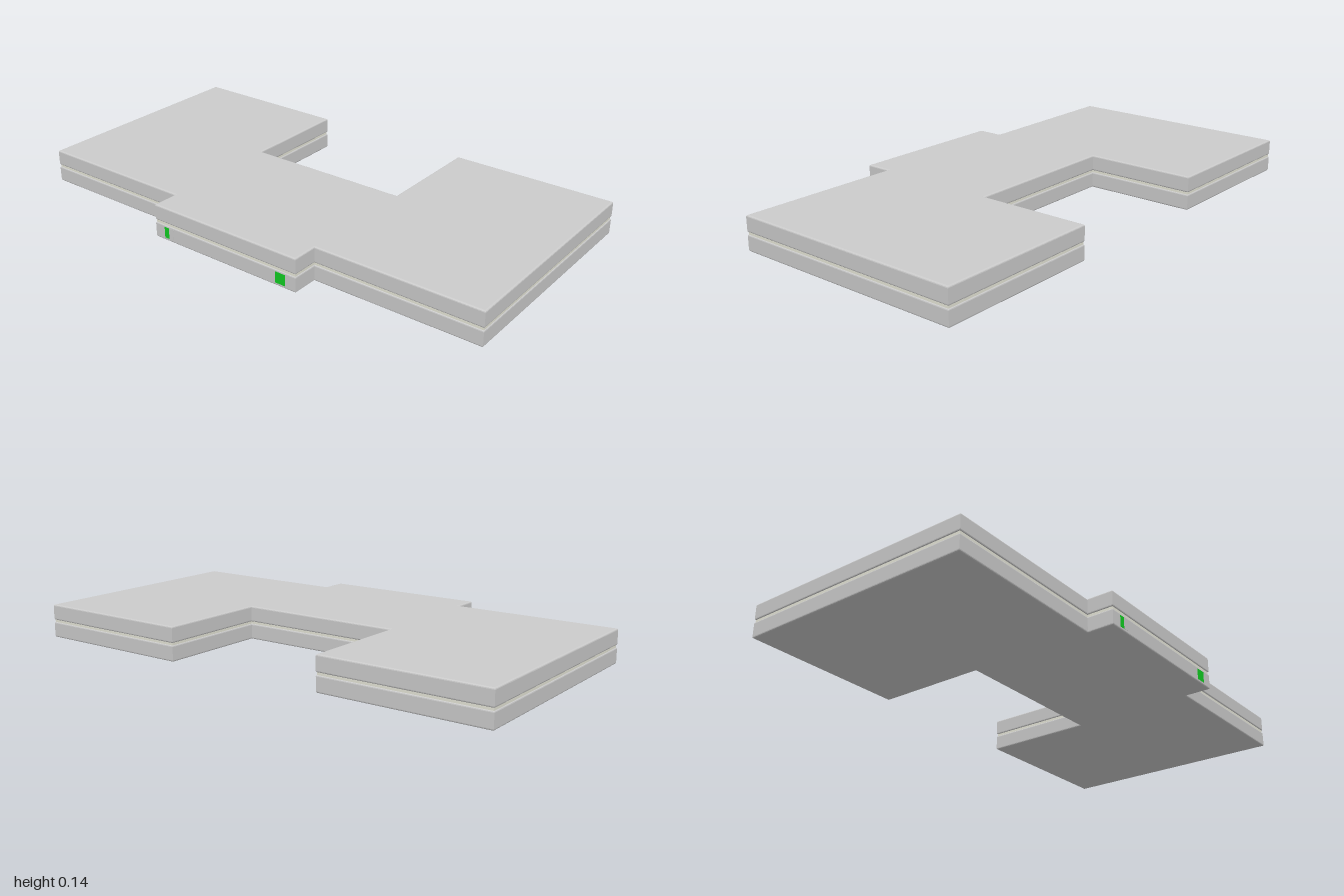
import * as THREE from 'three';

const HEIGHT = 0.135, SEAM = 0.008, BEVEL = 0.006;
const FRONT = 0.53;

// Half of the plan outline as [x, z]; the other half is mirrored.
const HALF = [[0.333, FRONT], [0.333, 0.425], [1, 0.425], [1, -0.53], [0.333, -0.53], [0.333, -0.08]];

function outline() {
  const left = HALF.map(([x, z]) => [-x, z]).reverse();
  return new THREE.Shape([...HALF, ...left].map(([x, z]) => new THREE.Vector2(x, -z)));
}

// Slab following the outline, with softened top and bottom edges.
function slab(name, y, height, material, inset = 0) {
  const bevel = inset ? 0 : BEVEL;
  const geometry = new THREE.ExtrudeGeometry(outline(), {
    depth: height - 2 * bevel,
    bevelEnabled: true,
    bevelThickness: bevel,
    bevelSize: BEVEL,
    bevelOffset: -BEVEL - inset,
    bevelSegments: 3,
  });
  geometry.rotateX(-Math.PI / 2);
  const mesh = new THREE.Mesh(geometry, material);
  mesh.name = name;
  mesh.position.y = y + bevel;
  return mesh;
}

export function createModel() {
  const group = new THREE.Group();
  group.name = 'steppedPlatform';
  const grey = new THREE.MeshStandardMaterial({ color: 0xcccccc });
  const pale = new THREE.MeshStandardMaterial({ color: 0xe6e6d8 });
  const green = new THREE.MeshStandardMaterial({ color: 0x11cc22 });

  // Two stacked slabs with a pale seam between them
  const h = (HEIGHT - SEAM) / 2;
  group.add(slab('lowerSlab', 0, h, grey));
  group.add(slab('upperSlab', h + SEAM, h, grey));
  group.add(slab('seamStrip', h - 0.001, SEAM + 0.002, pale, 0.003));

  // Square indicators on the front tab; the right one is half lit
  const indicator = (name, x, width, material) => {
    const mesh = new THREE.Mesh(new THREE.BoxGeometry(width, 0.044, 0.004), material);
    mesh.name = name;
    mesh.position.set(x, 0.033, FRONT - 0.001);
    group.add(mesh);
  };
  indicator('leftIndicator', 0.265, 0.044, green);
  indicator('rightIndicatorLit', -0.277, 0.022, green);
  indicator('rightIndicatorUnlit', -0.255, 0.022, grey);

  return group;
}
